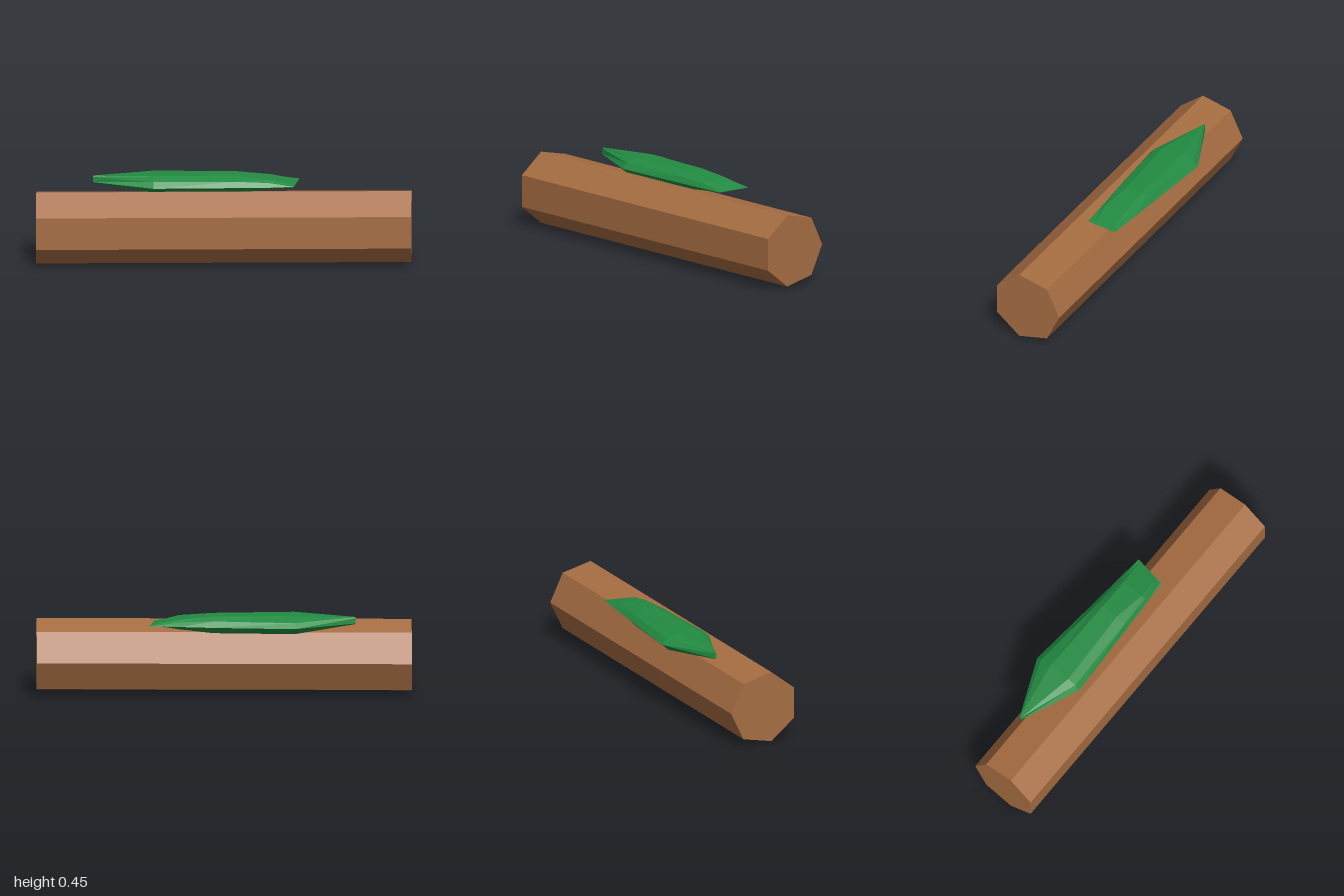
import * as THREE from 'three';

// Seven-sided log lying along x, tilted slightly by a shear
function makeLog(material) {
  const geo = new THREE.CylinderGeometry(0.2, 0.2, 2, 7);
  geo.rotateY(Math.PI).rotateZ(Math.PI / 2);
  const p = geo.attributes.position;
  for (let i = 0; i < p.count; i++) {
    const x = p.getX(i);
    p.setXYZ(i, x, p.getY(i) + 0.206 + 0.0065 * x, p.getZ(i) + 0.046 - 0.007 * x);
  }
  const flat = geo.toNonIndexed();
  flat.computeVertexNormals();
  const mesh = new THREE.Mesh(flat, material);
  mesh.name = 'log';
  return mesh;
}

// Closed faceted skin over cross-sections running along x
function loft(rings) {
  const out = [];
  const tri = (a, b, c) => out.push(...a, ...b, ...c);
  const n = rings[0].length;
  for (let i = 0; i < rings.length - 1; i++) {
    for (let j = 0; j < n; j++) {
      const k = (j + 1) % n;
      const a = rings[i][j], b = rings[i + 1][j], c = rings[i + 1][k], d = rings[i][k];
      tri(a, b, c);
      tri(a, c, d);
    }
  }
  const first = rings[0], last = rings[rings.length - 1];
  for (let j = 1; j < n - 1; j++) {
    tri(first[0], first[j], first[j + 1]);
    tri(last[0], last[j + 1], last[j]);
  }
  const geo = new THREE.BufferGeometry();
  geo.setAttribute('position', new THREE.Float32BufferAttribute(out, 3));
  geo.computeVertexNormals();
  return geo;
}

// Moss patch: each section is [x, y] levels and z positions, front to back,
// over the top: rim, shoulder, crown, crown, shoulder, rim, base, base
function makeMoss(material) {
  const sections = [
    { x: -0.70, lean: 0, z: [-0.072, -0.075, -0.078, -0.082, -0.085, -0.088, -0.083, -0.077],
      y: [0.41, 0.438, 0.444, 0.444, 0.438, 0.41, 0.406, 0.406] },
    { x: -0.375, lean: 0, z: [0.06, 0.033, -0.013, -0.135, -0.2, -0.228, -0.186, 0.02],
      y: [0.408, 0.438, 0.459, 0.459, 0.437, 0.41, 0.374, 0.374] },
    { x: 0.06, lean: 0, z: [0.038, 0.02, -0.035, -0.13, -0.165, -0.19, -0.155, 0.01],
      y: [0.408, 0.438, 0.459, 0.459, 0.44, 0.41, 0.374, 0.374] },
    { x: 0.24, lean: 0, z: [0.027, 0.012, -0.01, -0.135, -0.152, -0.175, -0.14, 0],
      y: [0.408, 0.43, 0.442, 0.443, 0.432, 0.412, 0.392, 0.392] },
    { x: 0.373, lean: 0.165, z: [0.02, 0.01, -0.02, -0.13, -0.145, -0.16, -0.12, 0],
      y: [0.408, 0.409, 0.41, 0.412, 0.413, 0.413, 0.412, 0.408] },
  ];
  const rings = sections.map((s) => s.z.map((z, j) => [s.x - s.lean * z, s.y[j], z]));
  const mesh = new THREE.Mesh(loft(rings), material);
  mesh.name = 'mossPatch';
  return mesh;
}

export function createModel() {
  const bark = new THREE.MeshStandardMaterial({ color: 0xa66d42 });
  bark.name = 'bark brown';
  const green = new THREE.MeshStandardMaterial({ color: 0x228b42 });
  green.name = 'moss green';
  bark.flatShading = green.flatShading = true;

  const group = new THREE.Group();
  group.name = 'mossyLog';
  group.add(makeLog(bark), makeMoss(green));
  return group;
}
